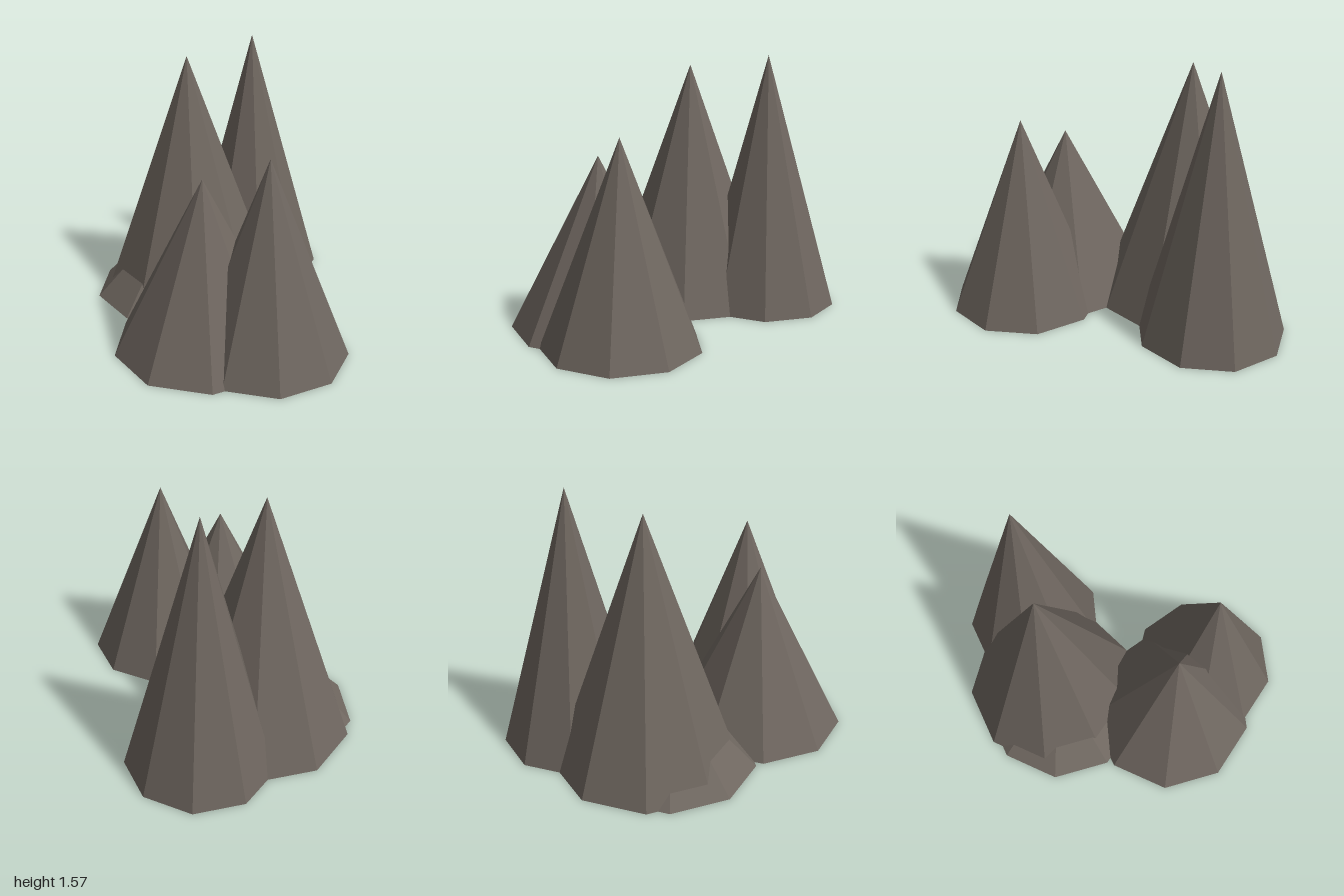
import * as THREE from 'three';

export function createModel() {
  const group = new THREE.Group();
  const rock = new THREE.MeshStandardMaterial({ color: 0x6e665f, flatShading: true });
  rock.name = 'brown grey rock';

  // Nine-sided rock spikes: name, x, z, base radius, height
  const spikes = [
    ['frontSpike', -0.18, 0.54, 0.46, 1.17],
    ['leftSpike', -0.41, 0.24, 0.527, 1.015],
    ['middleSpike', -0.035, -0.46, 0.55, 1.5],
    ['rightSpike', 0.46, -0.46, 0.44, 1.565],
    ['buriedSpike', -0.164, -0.43, 0.512, 0.53],
  ];

  for (const [name, x, z, radius, height] of spikes) {
    // One corner of the base points to +x
    const geometry = new THREE.ConeGeometry(radius, height, 9, 1, false, Math.PI / 2);
    const spike = new THREE.Mesh(geometry, rock);
    spike.name = name;
    spike.position.set(x, height / 2, z);
    group.add(spike);
  }

  group.name = 'rockSpikes';
  return group;
}
